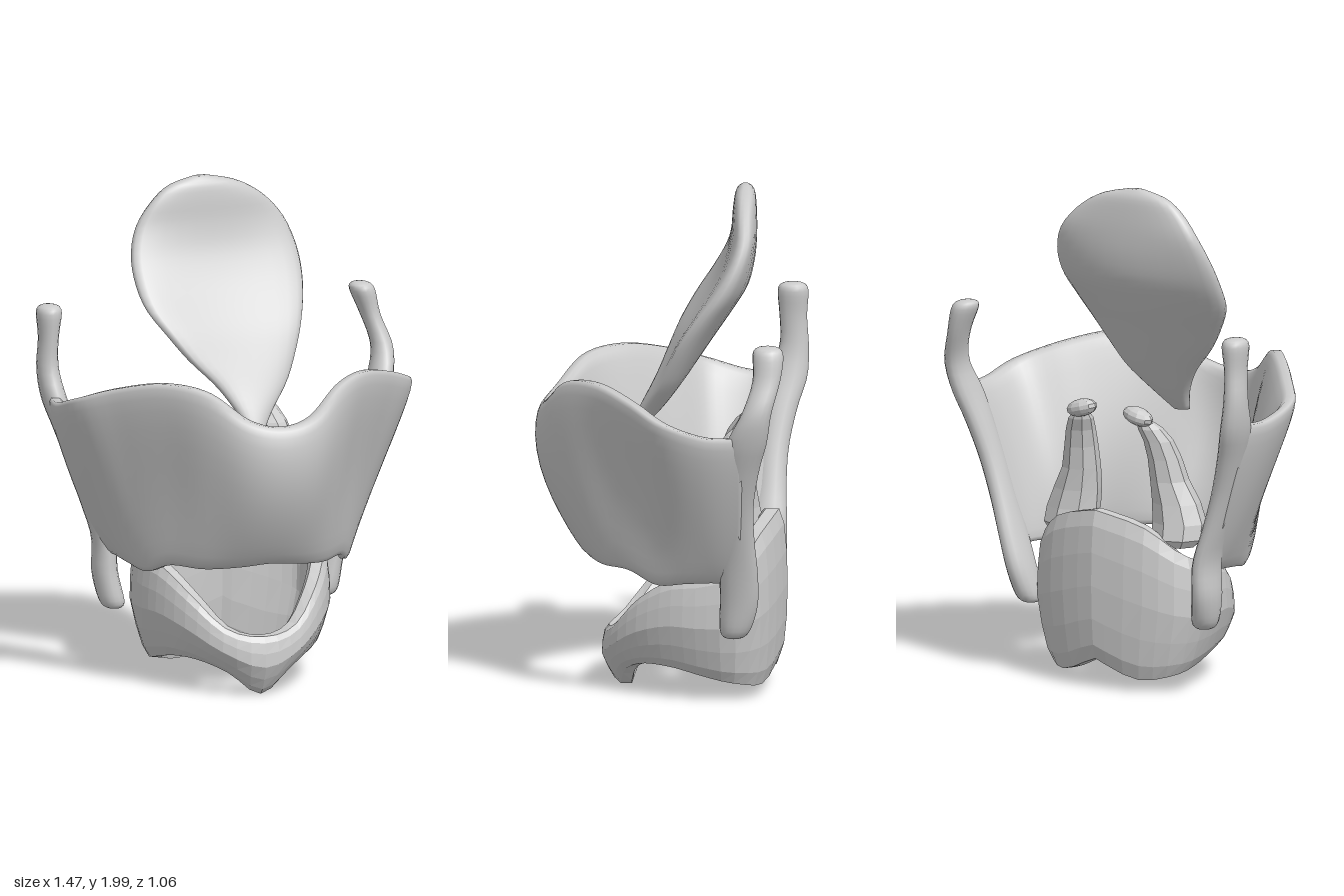
import * as THREE from 'three';

const smooth = new THREE.MeshStandardMaterial({ color: 0xcccccc, side: THREE.DoubleSide });
const faceted = new THREE.MeshStandardMaterial({ color: 0xcccccc, side: THREE.DoubleSide, flatShading: true });

// Catmull-Rom sampling of rows of numbers, t in 0..1
function sample(rows, t) {
  const n = rows.length - 1;
  const i = Math.min(Math.floor(t * n), n - 1), f = t * n - i;
  const row = k => rows[Math.max(0, Math.min(n, k))];
  return rows[0].map((_, c) => {
    const [a, b, d, e] = [row(i - 1)[c], row(i)[c], row(i + 1)[c], row(i + 2)[c]];
    return b + 0.5 * f * (d - a + f * (2 * a - 5 * b + 4 * d - e + f * (3 * (b - d) + e - a)));
  });
}

// Half a path (midline first) becomes a full one; listed columns change sign
function mirrored(half, cols) {
  const other = half.slice(1).reverse().map(r => r.map((v, c) => (cols.includes(c) ? -v : v)));
  return [...other, ...half];
}

// Skin over closed cross-sections, with faces turned outward
function loft(rings, closed = false) {
  const m = rings[0].length, n = rings.length, pos = rings.flat(2), idx = [];
  const last = closed ? n : n - 1;
  for (let i = 0; i < last; i++) {
    for (let j = 0; j < m; j++) {
      const a = i * m + j, b = i * m + (j + 1) % m;
      const c = ((i + 1) % n) * m + j, d = ((i + 1) % n) * m + (j + 1) % m;
      idx.push(a, b, c, b, d, c);
    }
  }
  if (!closed) {
    [[0, 1], [n - 1, -1]].forEach(([r, s]) => {
      const mid = [0, 1, 2].map(c => rings[r].reduce((sum, p) => sum + p[c], 0) / m);
      const k = pos.length / 3;
      pos.push(...mid);
      for (let j = 0; j < m; j++) {
        const a = r * m + j, b = r * m + (j + 1) % m;
        if (s > 0) idx.push(k, b, a); else idx.push(k, a, b);
      }
    });
  }
  let volume = 0;
  const P = i => new THREE.Vector3().fromArray(pos, i * 3);
  for (let i = 0; i < idx.length; i += 3) volume += P(idx[i]).dot(P(idx[i + 1]).cross(P(idx[i + 2])));
  if (volume < 0) idx.reverse();
  const g = new THREE.BufferGeometry();
  g.setAttribute('position', new THREE.Float32BufferAttribute(pos, 3));
  g.setIndex(idx);
  g.computeVertexNormals();
  return g;
}

// Upright rod with rounded ends; rows are [x, y, z, radiusX, radiusZ]
function rod(rows, sides, steps, roundness) {
  const rings = [];
  for (let k = 0; k <= steps; k++) {
    const t = 0.5 - 0.5 * Math.cos(Math.PI * k / steps);
    const [x, y, z, rx, rz] = sample(rows, t);
    const end = Math.sqrt(Math.max(0.0004, 1 - Math.abs(2 * t - 1) ** roundness));
    rings.push(Array.from({ length: sides }, (_, j) => {
      const a = j / sides * Math.PI * 2;
      return [x + rx * end * Math.cos(a), y, z + rz * end * Math.sin(a)];
    }));
  }
  return loft(rings);
}

// Upright wall along a plan path: place(row, v) gives the mid-surface point and half thickness
function wall(rows, place, steps, loopN, closed) {
  const rings = [];
  for (let k = 0; k < (closed ? steps : steps + 1); k++) {
    const t = k / steps, e = 0.004;
    const row = sample(rows, t);
    const r0 = sample(rows, Math.max(0, t - e)), r1 = sample(rows, Math.min(1, t + e));
    rings.push(Array.from({ length: loopN }, (_, j) => {
      const a = (j + 0.5) / loopN * Math.PI * 2, v = 0.5 - 0.5 * Math.cos(a);
      const p = place(row, v), p0 = place(r0, v), p1 = place(r1, v);
      const tx = p1[0] - p0[0], tz = p1[2] - p0[2], len = Math.hypot(tx, tz) || 1;
      const off = p[3] * Math.sign(Math.sin(a)) * Math.abs(Math.sin(a)) ** 0.55;
      return [p[0] + tz / len * off, p[1], p[2] - tx / len * off];
    }));
  }
  return loft(rings, closed);
}

const mix = THREE.MathUtils.lerp;

export function createModel() {
  const model = new THREE.Group();
  const add = (name, geometry, material) => {
    const mesh = new THREE.Mesh(geometry, material);
    mesh.name = name;
    model.add(mesh);
    return mesh;
  };

  // Large V-shaped shield: [topX, topZ, topY, bottomX, bottomZ, bottomY, hollow]
  const shield = mirrored([
    [0, 0.49, 1.14, 0, 0.33, 0.56, 0],
    [0.13, 0.465, 1.17, 0.12, 0.3, 0.545, 0.005],
    [0.27, 0.375, 1.27, 0.24, 0.225, 0.53, 0.02],
    [0.41, 0.24, 1.29, 0.34, 0.115, 0.53, 0.035],
    [0.56, 0.09, 1.25, 0.4, 0.0, 0.485, 0.035],
    [0.68, -0.05, 1.19, 0.44, -0.12, 0.5, 0.02],
    [0.695, -0.22, 1.14, 0.46, -0.24, 0.51, 0],
    [0.68, -0.36, 1.14, 0.465, -0.325, 0.5, 0]
  ], [0, 3]);
  add('shieldPlate', wall(shield, ([tx, tz, ty, bx, bz, by, hollow], v) => {
    const dent = hollow * Math.sin(Math.PI * v);
    return [mix(bx, tx, v) - Math.sign(tx) * dent, mix(by, ty, v), mix(bz, tz, Math.sin(1.9 * v)) - dent, 0.038 + 0.012 * v];
  }, 72, 28, false), smooth);

  // Back border of the shield, running from the lower horn up into the upper horn
  for (const [side, label, tipX, tipZ, lowX] of [[1, 'left', 0.61, -0.46, 0.415], [-1, 'right', 0.685, -0.405, 0.45]]) {
    add(label + 'Horns', rod([
      [side * lowX, 0.28, -0.3, 0.055, 0.06],
      [side * (lowX + 0.03), 0.42, -0.325, 0.05, 0.075],
      [side * 0.485, 0.56, -0.33, 0.045, 0.075],
      [side * 0.53, 0.7, -0.335, 0.044, 0.062],
      [side * 0.58, 0.85, -0.34, 0.046, 0.06],
      [side * 0.63, 1.0, -0.36, 0.048, 0.068],
      [side * 0.67, 1.12, -0.385, 0.049, 0.078],
      [side * 0.69, 1.24, mix(-0.41, tipZ, 0.3), 0.043, 0.058],
      [side * mix(0.69, tipX, 0.5), 1.37, tipZ, 0.04, 0.055],
      [side * tipX, 1.495, tipZ, 0.06, 0.07]
    ], 16, 40, 26), smooth);
  }

  // Signet-shaped ring, low in front and tall behind: [x, z, bottomY, topY, halfThickness]
  const ring = mirrored([
    [0, 0.22, 0.005, 0.25, 0.05],
    [0.13, 0.18, 0.09, 0.28, 0.05],
    [0.235, 0.085, 0.13, 0.4, 0.05],
    [0.305, -0.04, 0.13, 0.49, 0.05],
    [0.34, -0.17, 0.1, 0.52, 0.05],
    [0.33, -0.29, 0.07, 0.57, 0.055],
    [0.2, -0.365, 0.05, 0.68, 0.06],
    [0, -0.405, 0.12, 0.73, 0.06]
  ], [0]);
  add('ringCartilage', wall(ring, ([x, z, yb, yt, th], v) => {
    const grow = Math.min(1, v * 2);
    return [x * mix(0.85, 1, grow), mix(yb, yt, v), z > 0 ? z * mix(0.78, 1, grow) : z, th];
  }, 40, 14, true), faceted);

  // Pair of small pyramids standing on the ring, each with a bead hooked back over its top
  for (const [side, label] of [[1, 'left'], [-1, 'right']]) {
    add(label + 'Pyramid', rod([
      [side * 0.27, 0.58, -0.25, 0.11, 0.1],
      [side * 0.26, 0.7, -0.22, 0.11, 0.1],
      [side * 0.22, 0.84, -0.23, 0.075, 0.08],
      [side * 0.2, 0.98, -0.26, 0.06, 0.065],
      [side * 0.16, 1.08, -0.31, 0.045, 0.045]
    ], 8, 10, 16), faceted);
    const bead = add(label + 'Bead', new THREE.SphereGeometry(1, 10, 7), faceted);
    bead.scale.set(0.07, 0.035, 0.045);
    bead.position.set(side * 0.14, 1.1, -0.33);
    bead.rotation.z = side * -0.25;
  }

  // Leaf-shaped flap: [y, centreX, centreZ, halfWidth, forwardCurl, halfThickness]
  const leaf = [
    [1.04, 0, 0.13, 0.03, 0, 0.025], [1.12, 0.01, 0.075, 0.075, 0, 0.045], [1.22, 0.015, 0.01, 0.15, 0.01, 0.055],
    [1.32, -0.01, -0.05, 0.225, 0.03, 0.062], [1.42, -0.03, -0.11, 0.285, 0.045, 0.068], [1.52, -0.05, -0.175, 0.335, 0.05, 0.07],
    [1.62, -0.055, -0.235, 0.355, 0.04, 0.07], [1.72, -0.06, -0.27, 0.348, 0.02, 0.06], [1.82, -0.065, -0.285, 0.31, 0, 0.052],
    [1.91, -0.075, -0.287, 0.235, 0, 0.047], [1.97, -0.09, -0.287, 0.145, 0, 0.038], [2.0, -0.1, -0.287, 0.03, 0, 0.015]
  ];
  const sections = [];
  for (let k = 0; k <= 36; k++) {
    const [y, cx, cz, w, curl, thick] = sample(leaf, k / 36);
    sections.push(Array.from({ length: 28 }, (_, j) => {
      const a = j / 28 * Math.PI * 2, u = Math.cos(a);
      const off = thick * Math.sign(Math.sin(a)) * Math.abs(Math.sin(a)) ** 0.7;
      return [cx + w * u, y, cz + curl * u * u - 0.11 * w * u + off];
    }));
  }
  add('leafFlap', loft(sections), smooth);

  return model;
}
